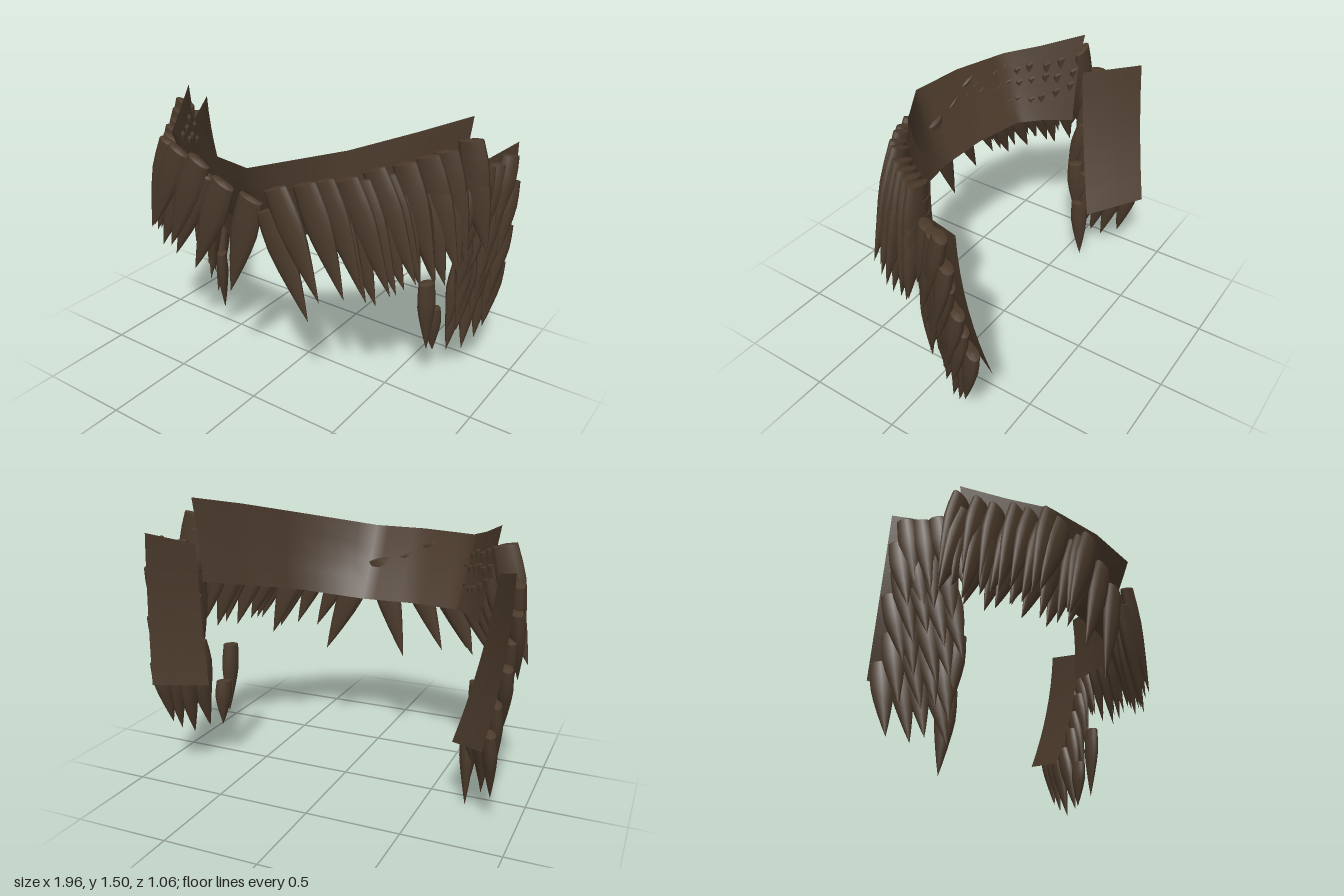
import * as THREE from 'three';

const brown = new THREE.MeshStandardMaterial({ color: 0x4b3a2b, side: THREE.DoubleSide });
brown.name = 'dark brown';

// seeded jitter in -1..1
let seed = 11;
const jitter = () => {
  seed = (seed * 16807) % 2147483647;
  return (seed / 2147483647) * 2 - 1;
};

// unit feather: blunt top at y = 0, sharp tip at y = -1
const featherGeo = new THREE.LatheGeometry([
  [0, -1], [0.14, -0.85], [0.28, -0.68], [0.41, -0.5], [0.49, -0.34],
  [0.48, -0.18], [0.43, -0.012], [0.42, 0], [0, 0.012],
].map(p => new THREE.Vector2(...p)), 10);

// point along a row of corner points, u = 0..1
function along(points, u) {
  const t = THREE.MathUtils.clamp(u, 0, 1) * (points.length - 1);
  const i = Math.min(Math.floor(t), points.length - 2);
  return points[i].clone().lerp(points[i + 1], t - i);
}
const vecs = list => list.map(p => new THREE.Vector3(...p));

// sheet stretched between two rows of points, bowed by a vector at mid height
function makeSheet(top, bottom, bow) {
  const a = vecs(top), b = vecs(bottom), push = new THREE.Vector3(...bow);
  return (u, v) => along(a, u).lerp(along(b, u), v).addScaledVector(push, 4 * v * (1 - v));
}
function sheetMesh(at, name, nu, nv) {
  const geo = new THREE.PlaneGeometry(1, 1, nu, nv);
  const pos = geo.attributes.position, uv = geo.attributes.uv;
  for (let i = 0; i < pos.count; i++) {
    const p = at(uv.getX(i), 1 - uv.getY(i));
    pos.setXYZ(i, p.x, p.y, p.z);
  }
  geo.computeVertexNormals();
  const mesh = new THREE.Mesh(geo, brown);
  mesh.name = name;
  return mesh;
}

// feather hung from a point along a direction, with its flat side set by the width axis
function feather(group, root, dir, widthAxis, width, depth, length) {
  const y = dir.clone().normalize().negate();
  const x = widthAxis.clone().addScaledVector(y, -widthAxis.dot(y)).normalize();
  const z = x.clone().cross(y);
  const mesh = new THREE.Mesh(featherGeo, brown);
  mesh.name = 'feather';
  mesh.matrix.makeBasis(x, y, z).scale(new THREE.Vector3(width, length, depth)).setPosition(root);
  mesh.matrix.decompose(mesh.position, mesh.quaternion, mesh.scale);
  group.add(mesh);
}

export function createModel() {
  const model = new THREE.Group();
  model.name = 'featherCollar';

  // curved front band
  const band = makeSheet(
    [[-0.8, 1.43, 0.0], [-0.68, 1.36, 0.2], [-0.57, 1.31, 0.38], [-0.27, 1.306, 0.48],
      [0.03, 1.3, 0.52], [0.4, 1.385, 0.26], [0.62, 1.45, 0.03], [0.79, 1.5, -0.19]],
    [[-0.71, 0.94, 0.0], [-0.62, 0.94, 0.13], [-0.52, 0.93, 0.25], [-0.25, 0.92, 0.32],
      [0.04, 0.91, 0.34], [0.4, 0.95, 0.25], [0.6, 1.0, 0.04], [0.76, 1.05, -0.17]],
    [0, 0, 0.01]);
  model.add(sheetMesh(band, 'frontBand', 28, 4));

  // band feathers: tips fan outward to both sides, longest near the middle
  const bandFeathers = new THREE.Group();
  bandFeathers.name = 'bandFeathers';
  model.add(bandFeathers);
  const X = new THREE.Vector3(1, 0, 0);
  const rows = [
    { v: 0.2, n: 19, gap: 0.28, length: 0.5 },
    { v: 0.36, n: 20, gap: 0.2, length: 0.5 },
    { v: 0.58, n: 18, gap: 0.34, length: 0.42 },
  ];
  for (const { v, n, gap, length } of rows) {
    for (let i = 0; i < n; i++) {
      const u = 0.01 + 0.98 * i / (n - 1) + 0.01 * jitter();
      const root = band(u, v + 0.06 * jitter());
      if (Math.abs(root.x) < gap) continue;
      const side = Math.sign(root.x);
      const edge = THREE.MathUtils.smoothstep(Math.abs(root.x), 0.45, 0.8);
      root.x += side * (side > 0 ? 0.04 : 0.03);
      root.z += side > 0 ? 0.03 : 0.015;
      const lean = 0.42 - 0.14 * edge + 0.07 * jitter();
      const dir = new THREE.Vector3(side * lean, -1, 0.03 * jitter());
      feather(bandFeathers, root, dir, X, 0.15, 0.06, length * (1.12 - 0.14 * edge + 0.07 * jitter()));
    }
  }
  // sparse middle feathers
  for (const [x, y, z, lean] of [[-0.32, 1.24, 0.46, -0.45], [-0.17, 1.16, 0.46, -0.42],
    [-0.01, 1.12, 0.45, -0.28], [0.08, 1.08, 0.45, 0.45], [0.14, 1.21, 0.46, 0.47],
    [0.26, 1.24, 0.4, 0.42]]) {
    feather(bandFeathers, new THREE.Vector3(x, y, z), new THREE.Vector3(lean, -1, 0), X, 0.16, 0.065, 0.58);
  }

  // side panels, each listed front to back, with loose feathers as x, y, z, length
  const panels = [
    { name: 'left', side: 1,
      top: [[0.8, 1.25, -0.16], [0.93, 1.34, -0.415]],
      bottom: [[0.69, 0.5, -0.27], [0.86, 0.57, -0.535]],
      loose: [[0.69, 0.67, -0.03, 0.4], [0.69, 0.48, -0.12, 0.26]] },
    { name: 'right', side: -1,
      top: [[-0.8, 1.2, 0.0], [-0.94, 1.27, -0.29]],
      bottom: [[-0.65, 0.37, -0.17], [-0.86, 0.46, -0.42]],
      loose: [[-0.7, 0.4, -0.08, 0.4], [-0.72, 0.65, -0.03, 0.38]] },
  ];
  for (const { name, side, top, bottom, loose } of panels) {
    const at = makeSheet(top, bottom, [side * 0.02, 0, 0.02]);
    model.add(sheetMesh(at, name + 'Panel', 3, 8));
    const group = new THREE.Group();
    group.name = name + 'PanelFeathers';
    model.add(group);
    const across = at(1, 0.5).sub(at(0, 0.5));
    for (let r = 0; r < 6; r++) {
      for (let c = 0; c < 4; c++) {
        const u = 0.06 + 0.23 * c + (r % 2) * 0.08;
        const root = at(u, 0.04 + 0.168 * r + 0.03 * jitter());
        root.x += side * 0.03;
        root.z += 0.02;
        const dir = new THREE.Vector3(-side * (0.03 + 0.05 * jitter()), -1, 0.2 + 0.06 * jitter());
        feather(group, root, dir, across, 0.11, 0.07, 0.38 * (1 + 0.07 * jitter()));
      }
    }
    // loose feathers ahead of the panel's front edge
    for (const [x, y, z, length] of loose) {
      feather(group, new THREE.Vector3(x, y, z), new THREE.Vector3(side * 0.03, -1, -0.06), across, 0.1, 0.07, length);
    }
  }

  // stand on the ground, centred
  const box = new THREE.Box3().setFromObject(model, true);
  const c = box.getCenter(new THREE.Vector3());
  model.position.set(-c.x, -box.min.y, -c.z);
  return model;
}
